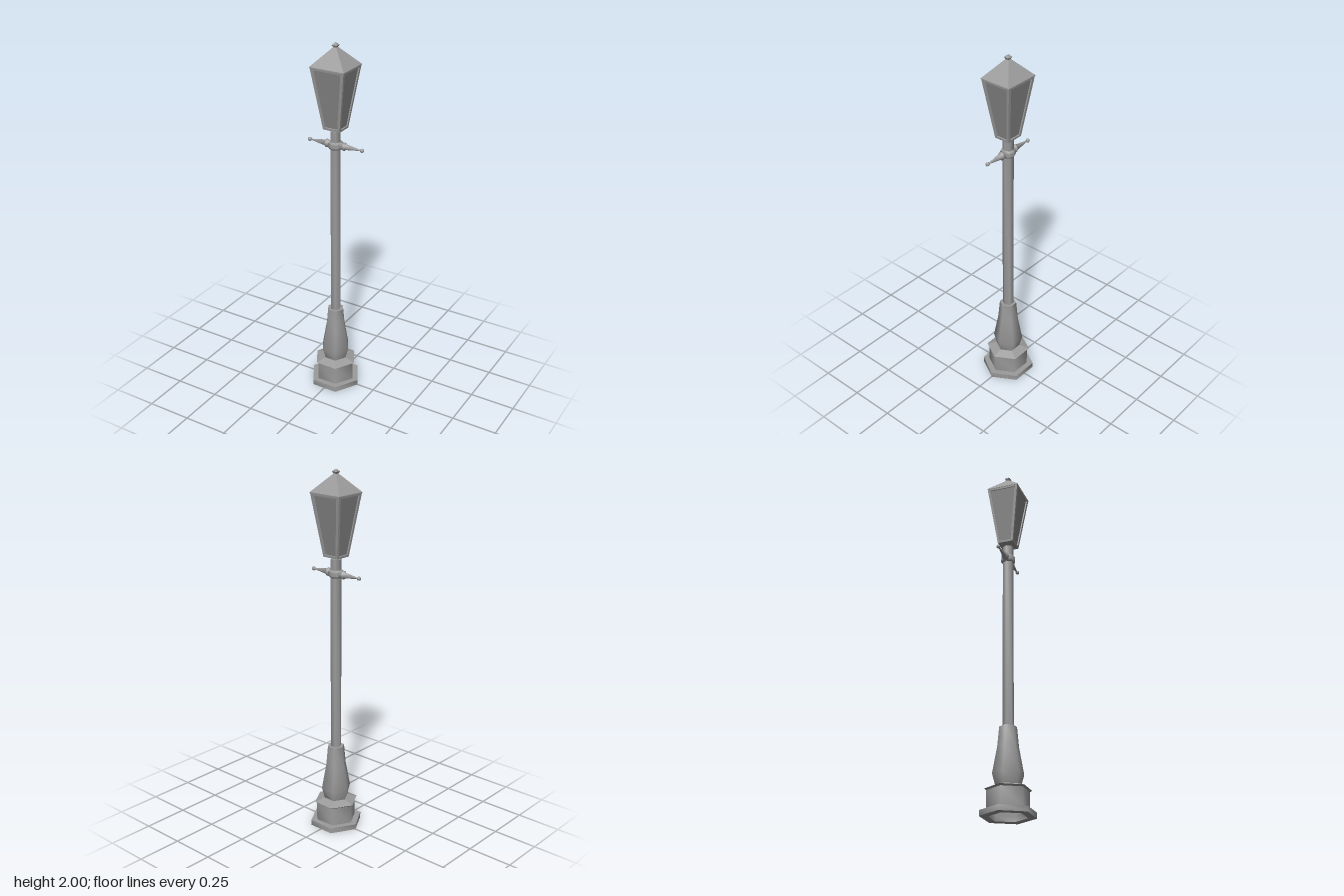
import * as THREE from 'three';
import { toCreasedNormals } from 'three/addons/utils/BufferGeometryUtils.js';

const iron = new THREE.MeshStandardMaterial({ color: 0x9b9b9b, side: THREE.DoubleSide });
const glass = new THREE.MeshStandardMaterial({ color: 0x868686, side: THREE.DoubleSide });

function part(name, geometry, material = iron) {
  const mesh = new THREE.Mesh(geometry, material);
  mesh.name = name;
  return mesh;
}

// Turned profile of [radius, height] pairs; edges sharper than the crease angle stay crisp
function turned(name, profile, sides, crease = 1.1) {
  const points = profile.map(([r, y]) => new THREE.Vector2(r, y));
  const g = new THREE.LatheGeometry(points, sides, Math.PI / 2);
  return part(name, toCreasedNormals(g, crease));
}

// Flat-faced geometry from a list of four-cornered faces
function quads(faces) {
  const pos = [];
  for (const [a, b, c, d] of faces) {
    for (const p of [a, b, c, a, c, d]) pos.push(p.x, p.y, p.z);
  }
  const g = new THREE.BufferGeometry();
  g.setAttribute('position', new THREE.Float32BufferAttribute(pos, 3));
  g.computeVertexNormals();
  return g;
}

// Rectangular corner loop at a height, counter-clockwise seen from above
function rect(x, z, y) {
  return [[-x, z], [x, z], [x, -z], [-x, -z]].map(([a, b]) => new THREE.Vector3(a, y, b));
}

function loft(loops) {
  const faces = [];
  for (let k = 0; k + 1 < loops.length; k++) {
    for (let i = 0; i < 4; i++) {
      const j = (i + 1) % 4;
      faces.push([loops[k][i], loops[k][j], loops[k + 1][j], loops[k + 1][i]]);
    }
  }
  return quads(faces);
}

// One lantern side: frame ring with recess walls, and the sunken pane
function lanternSide(a, b, c, d) {
  const outer = [a, b, c, d];
  const at = (u, v) => a.clone().lerp(b, u).lerp(d.clone().lerp(c, u), v);
  const inset = [at(0.14, 0.035), at(0.86, 0.035), at(0.91, 0.965), at(0.09, 0.965)];
  const normal = b.clone().sub(a).cross(d.clone().sub(a)).normalize();
  const sunk = inset.map((p) => p.clone().addScaledVector(normal, -0.007));
  const frame = [];
  for (let i = 0; i < 4; i++) {
    const j = (i + 1) % 4;
    frame.push([outer[i], outer[j], inset[j], inset[i]]);
    frame.push([inset[i], inset[j], sunk[j], sunk[i]]);
  }
  const side = new THREE.Group();
  side.name = 'lanternSide';
  side.add(part('frame', quads(frame)), part('pane', quads([sunk]), glass));
  return side;
}

function createLantern() {
  const lantern = new THREE.Group();
  lantern.name = 'lantern';
  const low = rect(0.049, 0.044, 1.547);
  const high = rect(0.098, 0.089, 1.88);
  for (let i = 0; i < 4; i++) {
    const j = (i + 1) % 4;
    lantern.add(lanternSide(low[i], low[j], high[j], high[i]));
  }
  lantern.add(part('lanternFloor', quads([[...low].reverse()])));
  // Pyramid roof with a thin eave
  lantern.add(part('roof', loft([
    rect(0, 0, 1.879), rect(0.1, 0.09, 1.879), rect(0.1, 0.09, 1.883),
    rect(0.008, 0.008, 1.978),
  ])));
  lantern.add(part('finial', loft([
    rect(0.008, 0.008, 1.975), rect(0.015, 0.015, 1.988),
    rect(0.003, 0.003, 2), rect(0, 0, 2),
  ])));
  return lantern;
}

function createLadderRest() {
  const rest = new THREE.Group();
  rest.name = 'ladderRest';
  // Rounded collar around the shaft
  rest.add(turned('restCollar', [
    [0.028, -0.021], [0.034, -0.019], [0.041, -0.008], [0.041, 0.008], [0.034, 0.019],
    [0.028, 0.021],
  ], 8));
  // Tapered arm with a flange and an end ball, mirrored to both sides
  for (const side of [1, -1]) {
    const arm = new THREE.Group();
    arm.name = side > 0 ? 'leftArm' : 'rightArm';
    arm.add(turned('armBar', [
      [0.02, 0.02], [0.02, 0.047], [0.024, 0.049], [0.024, 0.055], [0.017, 0.059],
      [0.011, 0.1], [0.003, 0.149],
    ], 8));
    arm.children[0].scale.z = 0.85;
    const ball = part('armBall', toCreasedNormals(new THREE.SphereGeometry(0.0115, 8, 4), 0.3));
    ball.position.y = 0.157;
    arm.add(ball);
    arm.rotation.z = -side * Math.PI / 2;
    rest.add(arm);
  }
  rest.position.y = 1.457;
  return rest;
}

export function createModel() {
  const model = new THREE.Group();
  model.name = 'streetLamp';

  // Six-sided base, open underneath
  model.add(turned('plinth', [
    [0.102, 0.03], [0.102, 0], [0.147, 0], [0.147, 0.03], [0.102, 0.03],
  ], 6));
  model.add(turned('drum', [[0.112, 0.03], [0.112, 0.135]], 6));
  model.add(turned('baseCollar', [
    [0.11, 0.132], [0.123, 0.141], [0.07, 0.159], [0, 0.159],
  ], 6, 0.3));

  // Swelling lower post and slender shaft
  model.add(turned('lowerPost', [
    [0.066, 0.158], [0.083, 0.222], [0.057, 0.365], [0.047, 0.473], [0.028, 0.473],
  ], 6, 1.35));
  model.add(turned('shaft', [[0.03, 0.47], [0.03, 1.535], [0, 1.535]], 6));

  model.add(createLadderRest(), createLantern());
  return model;
}
